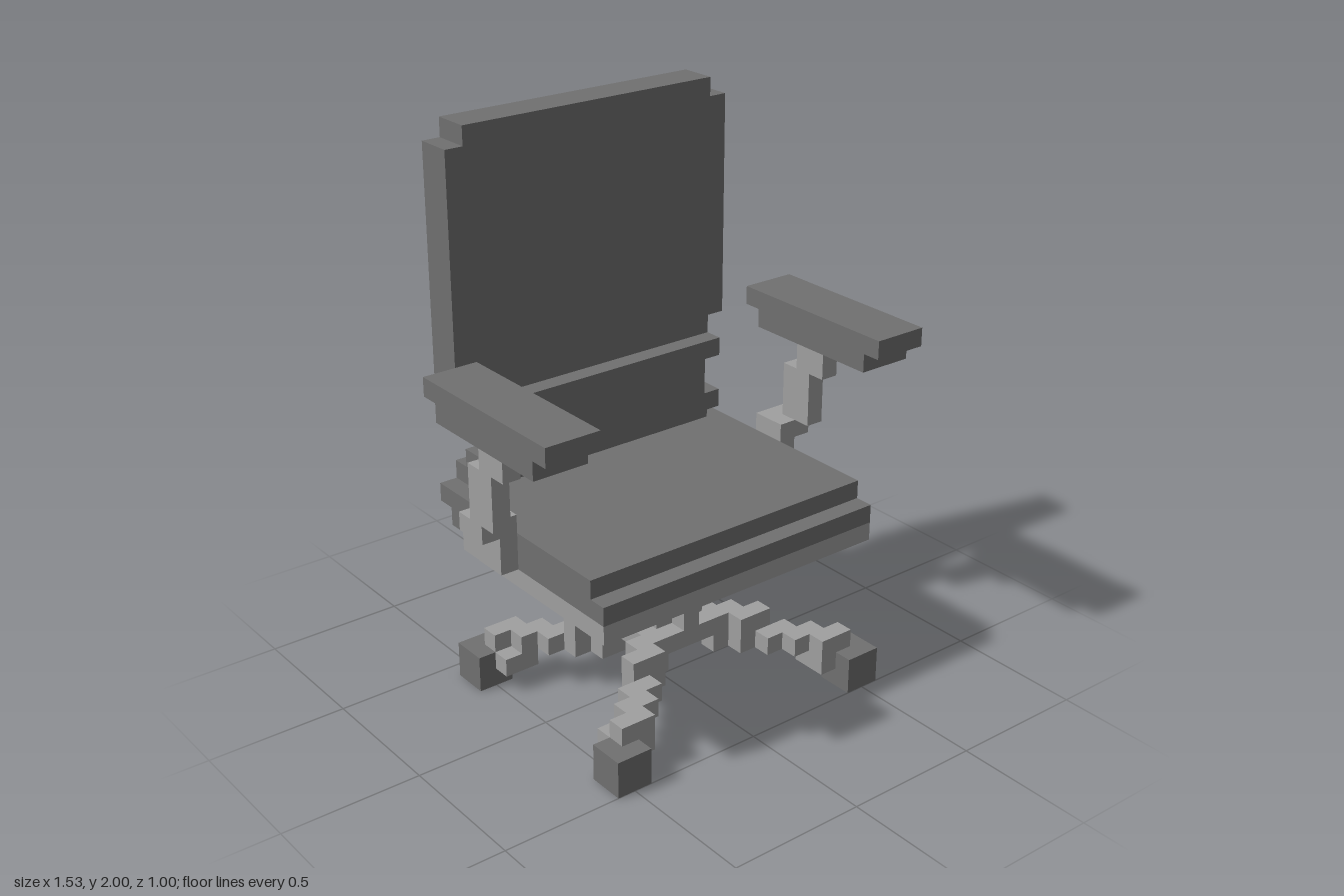
import * as THREE from 'three';

const U = 1 / 15; // one block

export function createModel() {
  const model = new THREE.Group();
  model.name = 'officeChair';
  const dark = new THREE.MeshStandardMaterial({ color: 0x707070 });
  dark.name = 'darkGrey';
  const light = new THREE.MeshStandardMaterial({ color: 0xa0a0a0 });
  light.name = 'lightGrey';

  const group = (name) => {
    const g = new THREE.Group();
    g.name = name;
    model.add(g);
    return g;
  };

  // Box given by its limits in blocks
  function box(parent, name, mat, x0, x1, y0, y1, z0, z1) {
    const geo = new THREE.BoxGeometry((x1 - x0) * U, (y1 - y0) * U, (z1 - z0) * U);
    const mesh = new THREE.Mesh(geo, mat);
    mesh.position.set((x0 + x1) / 2 * U, (y0 + y1) / 2 * U, (z0 + z1) / 2 * U);
    mesh.name = name;
    parent.add(mesh);
  }

  // Seat: pan and stepped cushion
  const seat = group('seat');
  box(seat, 'seatPan', light, -8.5, 8.5, 8, 9, -5.5, 6.5);
  box(seat, 'cushionLower', dark, -8.5, 8.5, 9, 10, -6.5, 6.5);
  box(seat, 'cushionUpper', dark, -8.5, 8.5, 10, 11, -7.5, 5.5);

  // Backrest slabs: half width, bottom, top, back, front
  const back = group('backrest');
  for (const [w, y0, y1, z0, z1] of [
    [7.5, 11, 12, -7.5, -5.5],
    [7.5, 12, 13, -6.5, -4.5],
    [6.5, 13, 15, -6.5, -4.5],
    [7.5, 15, 16, -6.5, -4.5],
    [7.5, 16, 17, -7.5, -5.5],
    [8.5, 17, 29, -7.5, -5.5],
    [7.5, 29, 30, -7.5, -5.5],
  ]) box(back, 'backSlab', dark, -w, w, y0, y1, z0, z1);

  // Armrests, mirrored left and right
  for (const s of [1, -1]) {
    const arm = group(s > 0 ? 'leftArmrest' : 'rightArmrest');
    const part = (name, mat, a, b, ...rest) =>
      box(arm, name, mat, Math.min(s * a, s * b), Math.max(s * a, s * b), ...rest);
    part('armPadTop', dark, 8.5, 11.5, 18, 19, -3.5, 6.5);
    part('armPadBase', dark, 8.5, 11.5, 17, 18, -2.5, 5.5);
    part('armPostUpper', light, 9.5, 10.5, 15, 17, -0.5, 1.5);
    part('armPostMiddle', light, 9.5, 10.5, 12, 15, -1.5, 0.5);
    part('armPostElbow', light, 9.5, 10.5, 11, 12, -2.5, -0.5);
    part('armBracket', light, 8.5, 9.5, 9, 12, -2.5, -0.5);
  }

  // Cross-shaped column on a flat hub
  const column = group('column');
  box(column, 'columnLong', light, -0.5, 0.5, 4, 8, -1.5, 2.5);
  for (const s of [-1, 1]) box(column, 'columnSide', light, s - 0.5, s + 0.5, 4, 8, -0.5, 1.5);
  box(column, 'hub', light, -1.5, 1.5, 3, 4, -1.5, 2.5);

  // Leg blocks per layer: [x, distance out along z]
  const layers = {
    3: [[2, 0], [2, 1], [3, 1], [3, 2], [4, 2]],
    2: [[2, 1], [3, 1], [3, 2], [4, 2], [4, 3], [5, 3], [5, 4], [6, 4], [6, 5], [7, 5]],
    1: [[6, 4], [6, 5], [7, 4]],
  };
  for (const sx of [-1, 1]) for (const sz of [-1, 1]) {
    const leg = group((sz > 0 ? 'front' : 'back') + (sx > 0 ? 'Left' : 'Right') + 'Leg');
    for (const [y, cells] of Object.entries(layers)) for (const [x, w] of cells) {
      const cz = 0.5 + sz * (w + 0.5);
      box(leg, 'legBlock', light, sx * x - 0.5, sx * x + 0.5, +y, +y + 1, cz - 0.5, cz + 0.5);
    }
    const cx = sx * 7.5, cz = 0.5 + sz * 6;
    box(leg, 'caster', dark, cx - 1, cx + 1, 0, 2, cz - 1, cz + 1);
  }
  return model;
}
